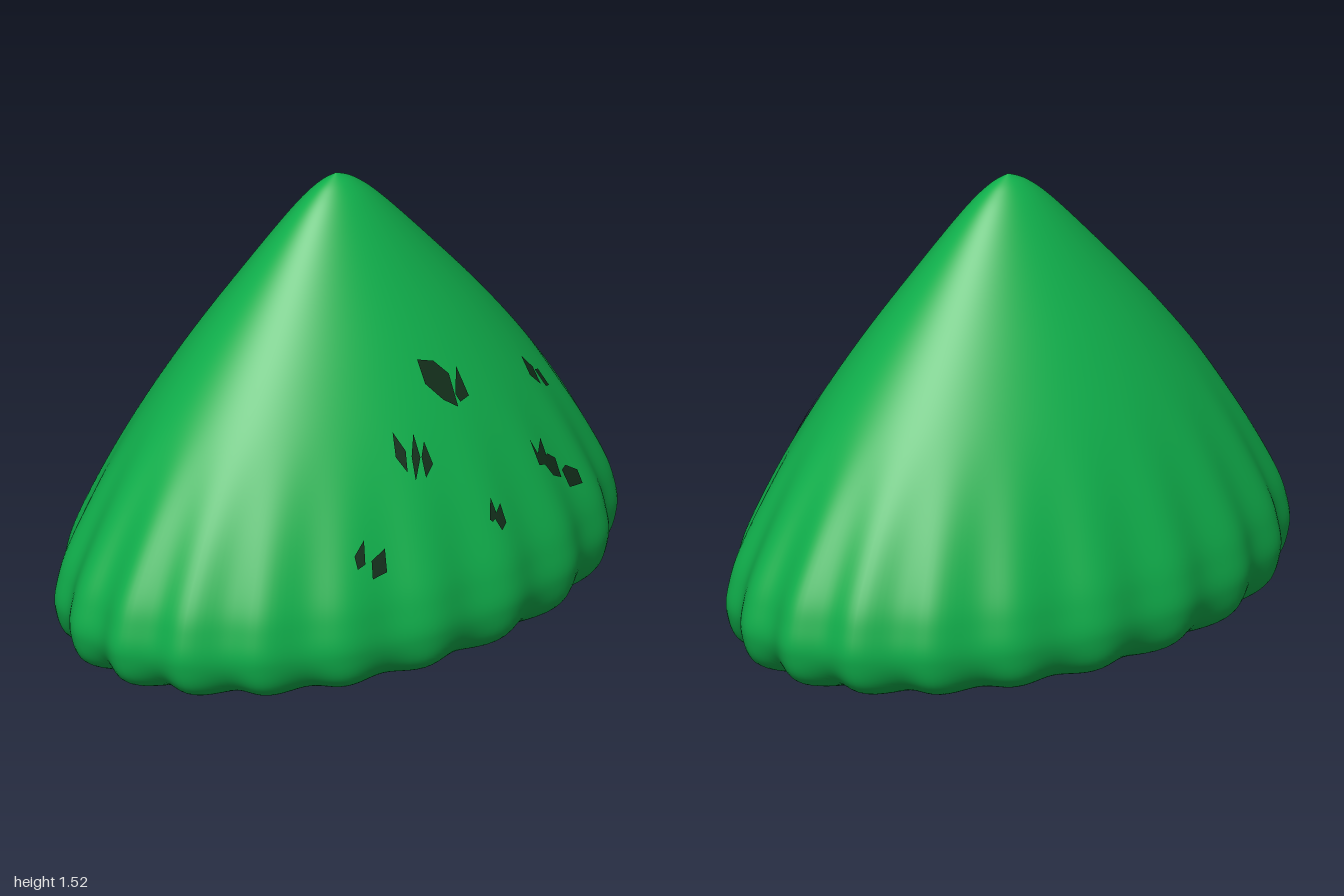
import * as THREE from 'three';
import { mergeVertices } from 'three/addons/utils/BufferGeometryUtils.js';

const DEPTH = 0.65; // z radius relative to x radius
const RIPPLES = 20;

// Half outline (radius, height) from the base centre to the tip
const profile = new THREE.SplineCurve([
  [0, 0.002], [0.35, 0.006], [0.6, 0.018], [0.82, 0.05], [0.945, 0.105], [0.995, 0.2],
  [0.985, 0.3], [0.945, 0.41], [0.84, 0.6], [0.705, 0.8], [0.545, 1.0],
  [0.365, 1.2], [0.175, 1.4], [0.075, 1.485], [0, 1.522],
].map(([r, y]) => new THREE.Vector2(r, y))).getPoints(112);

// Strength of the vertical folds: deepest low down, smooth near the tip
function foldDepth(y) {
  const fade = 1 - THREE.MathUtils.smoothstep(y, 0.2, 0.9);
  const tuck = 1 - THREE.MathUtils.smoothstep(y, 0.03, 0.2);
  return 0.016 * fade + 0.018 * tuck;
}

const fold = (angle, y) => 1 - foldDepth(y) * Math.cos(RIPPLES * angle);

// Outline radius at a height above the widest ring
function radiusAt(y) {
  const i = profile.findIndex((p) => p.y >= y);
  const a = profile[i - 1], b = profile[i];
  return THREE.MathUtils.mapLinear(y, a.y, b.y, a.x, b.x);
}

// Depth of the front surface at (x, y)
function frontZ(x, y) {
  const r = radiusAt(y);
  const angle = Math.asin(x / r);
  const R = r * fold(angle, y);
  return DEPTH * Math.sqrt(R * R - x * x);
}

function foldedBody() {
  const geo = new THREE.LatheGeometry(profile, 240);
  const pos = geo.attributes.position;
  for (let i = 0; i < pos.count; i++) {
    const x = pos.getX(i), y = pos.getY(i), z = pos.getZ(i);
    const k = fold(Math.atan2(x, z), y);
    pos.setXYZ(i, x * k, y, z * k * DEPTH);
  }
  // Weld the seam so the shading is continuous
  geo.deleteAttribute('uv');
  geo.deleteAttribute('normal');
  const welded = mergeVertices(geo, 1e-5);
  welded.computeVertexNormals();
  return welded;
}

// Small dark flecks on the front, outlined in x, y
const flecks = [
  [[0.02, 1.0], [0.08, 0.98], [0.125, 0.93], [0.12, 0.835], [0.07, 0.87], [0.02, 0.93]],
  [[0.125, 0.87], [0.165, 0.94], [0.178, 0.85], [0.135, 0.845]],
  [[-0.15, 0.83], [-0.125, 0.77], [-0.14, 0.71], [-0.165, 0.76]],
  [[-0.08, 0.81], [-0.08, 0.74], [-0.12, 0.68], [-0.11, 0.75]],
  [[-0.05, 0.78], [-0.04, 0.71], [-0.08, 0.68], [-0.075, 0.74]],
  [[-0.39, 0.51], [-0.345, 0.55], [-0.36, 0.48], [-0.39, 0.47]],
  [[-0.335, 0.485], [-0.28, 0.51], [-0.29, 0.44], [-0.345, 0.43]],
  [[0.12, 0.5], [0.145, 0.56], [0.155, 0.5], [0.13, 0.49]],
  [[0.14, 0.5], [0.18, 0.53], [0.187, 0.47], [0.16, 0.455]],
  [[0.39, 0.65], [0.41, 0.6], [0.45, 0.63], [0.455, 0.55], [0.4, 0.57]],
  [[0.43, 0.56], [0.46, 0.58], [0.5, 0.55], [0.505, 0.49], [0.46, 0.515]],
  [[0.52, 0.505], [0.545, 0.51], [0.6, 0.475], [0.61, 0.43], [0.54, 0.445]],
  [[0.505, 0.84], [0.55, 0.79], [0.555, 0.74], [0.51, 0.785]],
  [[0.555, 0.78], [0.58, 0.77], [0.612, 0.71], [0.585, 0.72]],
];

// Drape a flat outline over the front surface
function fleckGeometry(outline) {
  const geo = new THREE.ShapeGeometry(new THREE.Shape(outline.map(([x, y]) => new THREE.Vector2(x, y))));
  const pos = geo.attributes.position;
  for (let i = 0; i < pos.count; i++) {
    pos.setZ(i, frontZ(pos.getX(i), pos.getY(i)) + 0.007);
  }
  geo.computeVertexNormals();
  return geo;
}

export function createModel() {
  const model = new THREE.Group();
  const green = new THREE.MeshStandardMaterial({ color: 0x10b04c });
  const dark = new THREE.MeshStandardMaterial({ color: 0x14301c, side: THREE.DoubleSide });

  const body = new THREE.Mesh(foldedBody(), green);
  body.name = 'foldedBody';
  model.add(body);

  const fleckGroup = new THREE.Group();
  fleckGroup.name = 'darkFlecks';
  for (const outline of flecks) {
    const mesh = new THREE.Mesh(fleckGeometry(outline), dark);
    mesh.name = 'fleck';
    fleckGroup.add(mesh);
  }
  model.add(fleckGroup);
  return model;
}
